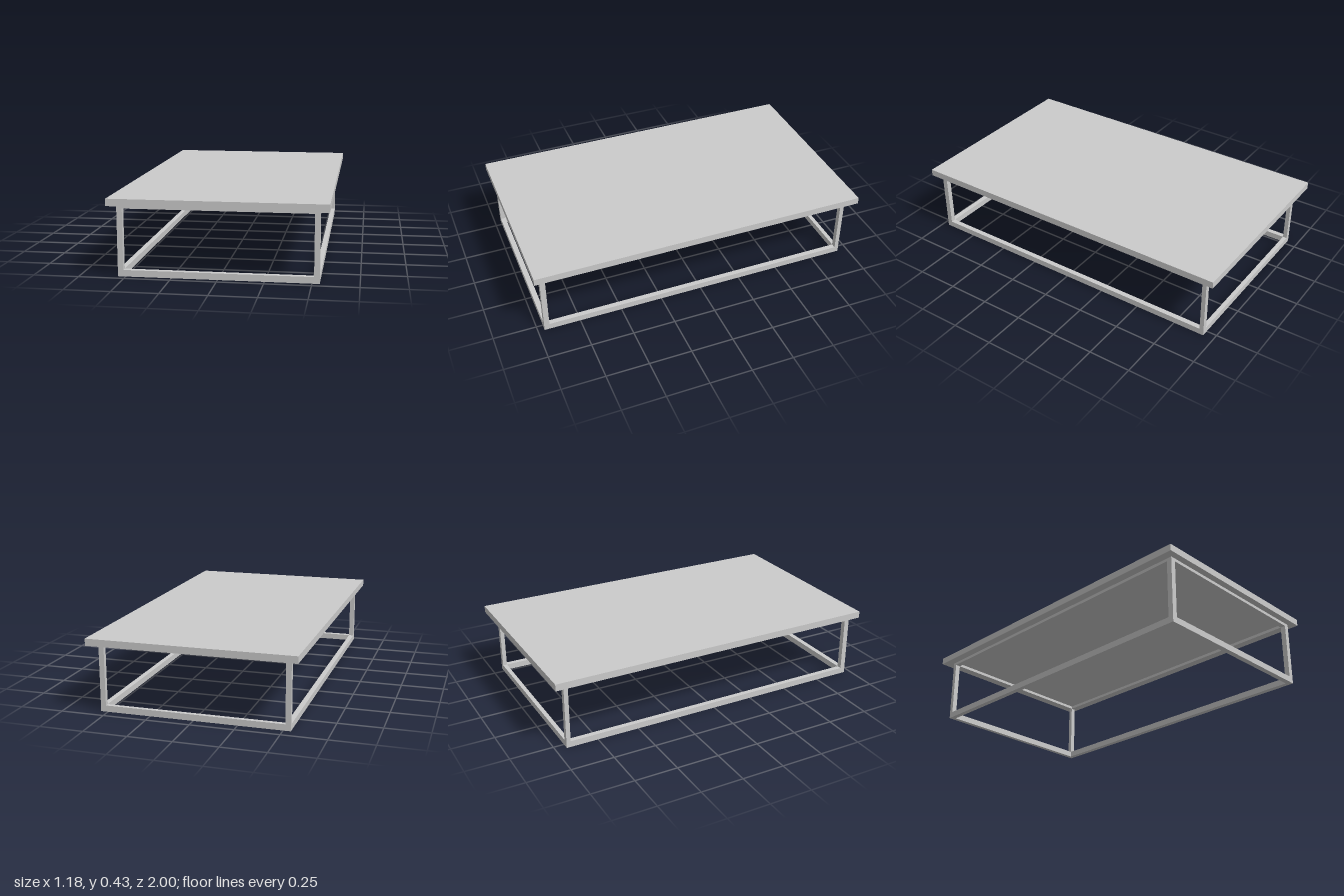
import * as THREE from 'three';

export function createModel() {
  const group = new THREE.Group();
  const material = new THREE.MeshStandardMaterial({ color: 0xcccccc, flatShading: true });

  // Box given by its minimum and maximum corners
  function box(name, [x0, y0, z0], [x1, y1, z1]) {
    const mesh = new THREE.Mesh(new THREE.BoxGeometry(x1 - x0, y1 - y0, z1 - z0), material);
    mesh.position.set((x0 + x1) / 2, (y0 + y1) / 2, (z0 + z1) / 2);
    mesh.name = name;
    group.add(mesh);
  }

  const topY = 0.39, railY = 0.372, baseY = 0.036;
  const xBars = { right: [-0.542, -0.512], left: [0.511, 0.541] };
  const zBars = { back: [-0.938, -0.913], front: [0.931, 0.962] };
  const levels = { bottom: [0, baseY], top: [railY, topY] };

  // Slab
  box('tableTop', [-0.59, topY, -1], [0.59, 0.43, 1]);

  // Legs between the two rail frames
  for (const [side, [x0, x1]] of Object.entries(xBars))
    for (const [end, [z0, z1]] of Object.entries(zBars))
      box(`${end} ${side} leg`, [x0, baseY, z0], [x1, railY, z1]);

  // Rectangular rail frames at the floor and under the slab
  for (const [level, [y0, y1]] of Object.entries(levels)) {
    for (const [side, [x0, x1]] of Object.entries(xBars))
      box(`${level} ${side} rail`, [x0, y0, zBars.back[0]], [x1, y1, zBars.front[1]]);
    for (const [end, [z0, z1]] of Object.entries(zBars))
      box(`${level} ${end} rail`, [xBars.right[1], y0, z0], [xBars.left[0], y1, z1]);
  }
  return group;
}
